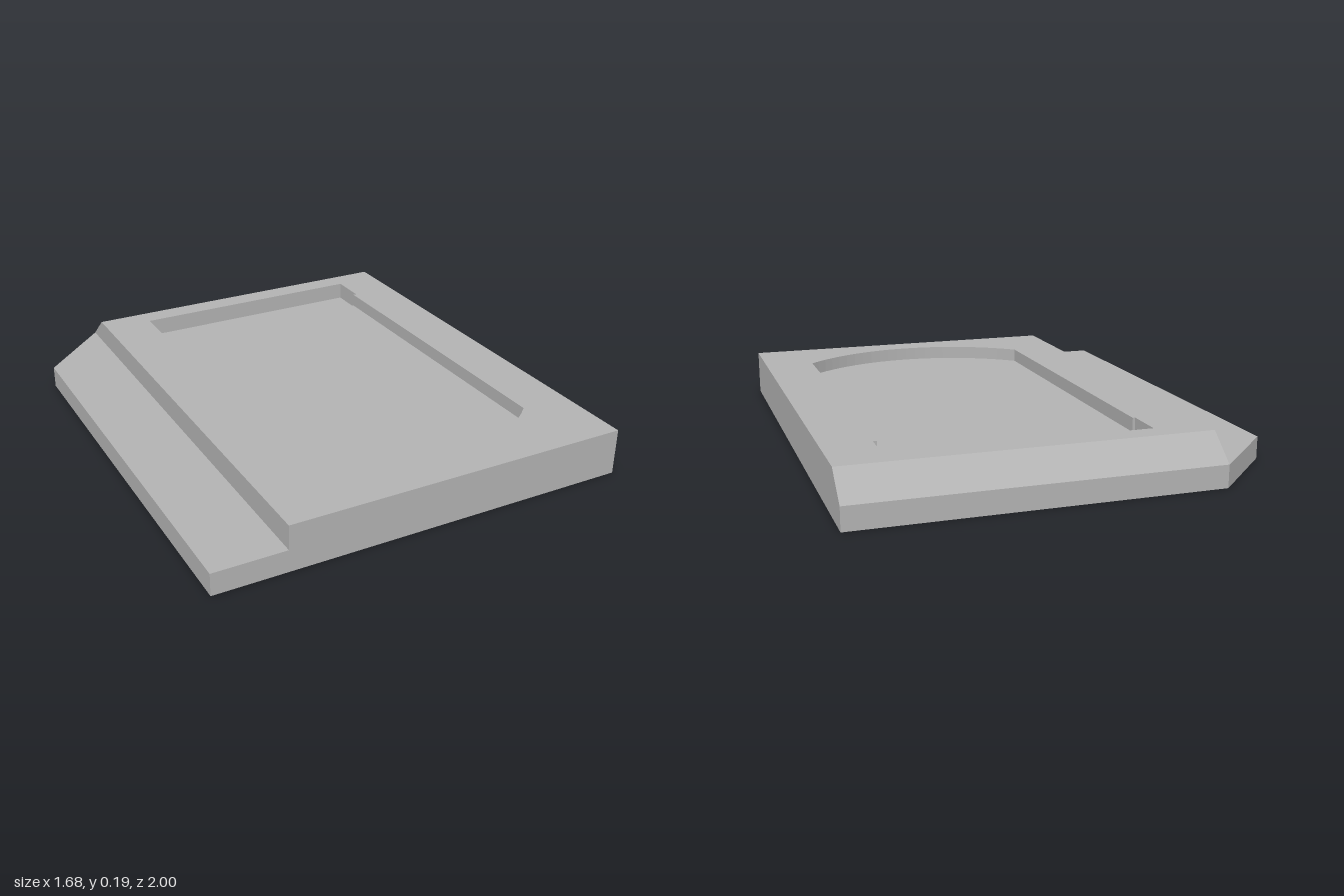
import * as THREE from 'three';

const grey = new THREE.MeshStandardMaterial({ color: 0xb2b2b2, side: THREE.DoubleSide });
grey.name = 'grey';

// heights of the rim, the side ledge and the two recess floors
const TOP = 0.185, LEDGE = 0.088, FLOOR = 0.13, SLOT = 0.112;
// plan positions
const X0 = -0.84, XS = -0.555, X1 = 0.84;
const BEVEL = -0.885;

function addMesh(group, name, geometry) {
  const mesh = new THREE.Mesh(geometry, grey);
  mesh.name = name;
  group.add(mesh);
}

// convex flat faces, each a loop of [x, y, z] corners seen from outside
function faces(loops) {
  const pos = [];
  for (const p of loops) {
    for (let i = 1; i < p.length - 1; i++) pos.push(...p[0], ...p[i], ...p[i + 1]);
  }
  const g = new THREE.BufferGeometry();
  g.setAttribute('position', new THREE.Float32BufferAttribute(pos, 3));
  g.computeVertexNormals();
  return g;
}

// upright walls along a path of [x, z] points
function walls(path, lo, hi) {
  const loops = [];
  for (let i = 0; i < path.length - 1; i++) {
    const [ax, az] = path[i], [bx, bz] = path[i + 1];
    loops.push([[ax, lo, az], [bx, lo, bz], [bx, hi, bz], [ax, hi, az]]);
  }
  return faces(loops);
}

// level plate from an outline of [x, z] points, with an optional hole
function plate(outline, y, hole) {
  const toVec = ([x, z]) => new THREE.Vector2(x, -z);
  const shape = new THREE.Shape(outline.map(toVec));
  if (hole) shape.holes.push(new THREE.Path(hole.map(toVec)));
  return new THREE.ShapeGeometry(shape).rotateX(-Math.PI / 2).translate(0, y, 0);
}

export function createModel() {
  const group = new THREE.Group();
  group.name = 'shallowCover';

  // outer skirt, open underneath
  addMesh(group, 'skirt', walls(
    [[X1, -1], [XS, -1], [X0, -0.715], [X0, 1], [X1, 1]], 0, LEDGE));
  addMesh(group, 'upperFront', walls([[XS, 1], [X1, 1]], LEDGE, TOP));
  addMesh(group, 'longSide', faces([
    [[X1, 0, 1], [X1, 0, -1], [X1, LEDGE, -1], [X1, TOP, BEVEL], [X1, TOP, 1]]]));
  addMesh(group, 'stepSide', faces([
    [[XS, LEDGE, -1], [XS, LEDGE, 1], [XS, TOP, 1], [XS, TOP, BEVEL]]]));
  addMesh(group, 'backBevel', faces([
    [[X1, LEDGE, -1], [XS, LEDGE, -1], [XS, TOP, BEVEL], [X1, TOP, BEVEL]]]));
  addMesh(group, 'sideLedge', plate([[XS, -1], [X0, -0.715], [X0, 1], [XS, 1]], LEDGE));

  // rounded front edge of the recess, from +x to -x
  const xa = -0.345, xb = 0.635, zEnd = 0.69, sag = 0.195;
  const half = (xb - xa) / 2, mid = (xa + xb) / 2;
  const radius = (half * half + sag * sag) / (2 * sag);
  const zc = zEnd + sag - radius, span = Math.asin(half / radius);
  const arc = [];
  for (let i = 0; i <= 24; i++) {
    const a = span * (1 - i / 12);
    arc.push([mid + radius * Math.sin(a), zc + radius * Math.cos(a)]);
  }

  // recess with a slightly wider, deeper slot at the back
  const zs = -0.64, zb = -0.795, sa = -0.355, sb = 0.65;
  const slot = [[xa, zs], [sa, zs], [sa, zb], [sb, zb], [sb, zs], [xb, zs]];
  const rim = [[XS, BEVEL], [XS, 1], [X1, 1], [X1, BEVEL]];
  addMesh(group, 'topRim', plate(rim, TOP, [...slot, ...arc]));
  addMesh(group, 'recessFloor', plate([[xa, zs], [xb, zs], ...arc], FLOOR));
  addMesh(group, 'recessWall', walls([[xb, zs], ...arc, [xa, zs]], FLOOR, TOP));
  addMesh(group, 'slotFloor', plate(slot.slice(1, 5), SLOT));
  addMesh(group, 'slotWall', walls(slot, SLOT, TOP));
  addMesh(group, 'slotStep', walls([[xb, zs], [xa, zs]], SLOT, FLOOR));
  return group;
}
